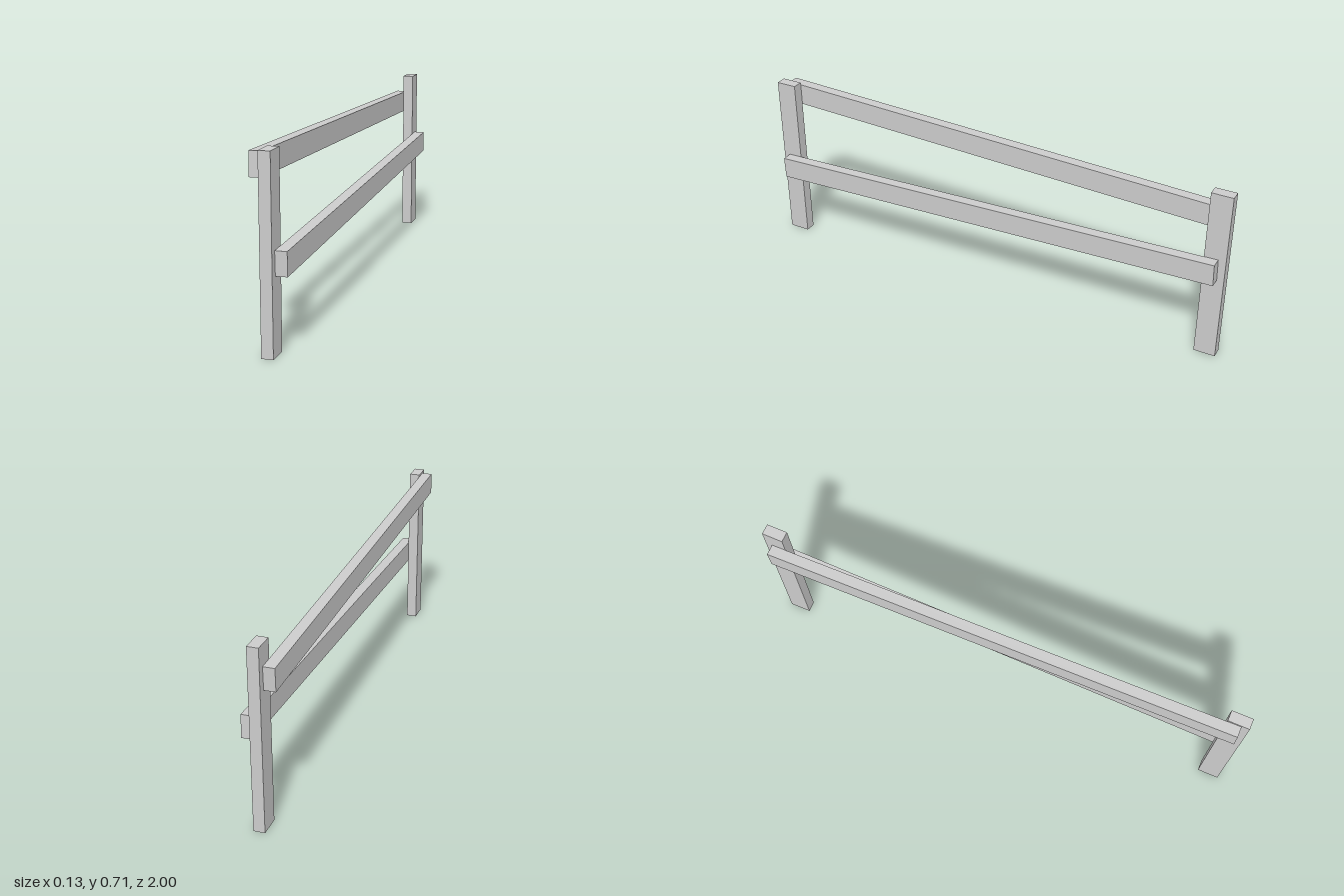
import * as THREE from 'three';

export function createModel() {
  const group = new THREE.Group();
  const material = new THREE.MeshStandardMaterial({ color: 0xcccccc, flatShading: true });

  const addBeam = (name, size, position, tilt = 0) => {
    const beam = new THREE.Mesh(new THREE.BoxGeometry(...size), material);
    beam.name = name;
    beam.position.set(...position);
    beam.rotation.x = tilt;
    group.add(beam);
  };

  // Upright posts at both ends
  const postHeight = 0.71, postDepth = 0.086, thickness = 0.0435;
  for (const [name, side] of [['frontPost', 1], ['backPost', -1]]) {
    addBeam(name, [thickness, postHeight, postDepth],
      [0, postHeight / 2, side * (1 - postDepth / 2)]);
  }

  // Slanted rails, one on each face of the posts
  const railSize = [thickness, 0.089, 1.943];
  addBeam('upperRail', railSize, [-thickness, 0.622, 0], -0.0368);
  addBeam('lowerRail', railSize, [thickness, 0.36, 0], 0.0337);

  return group;
}
